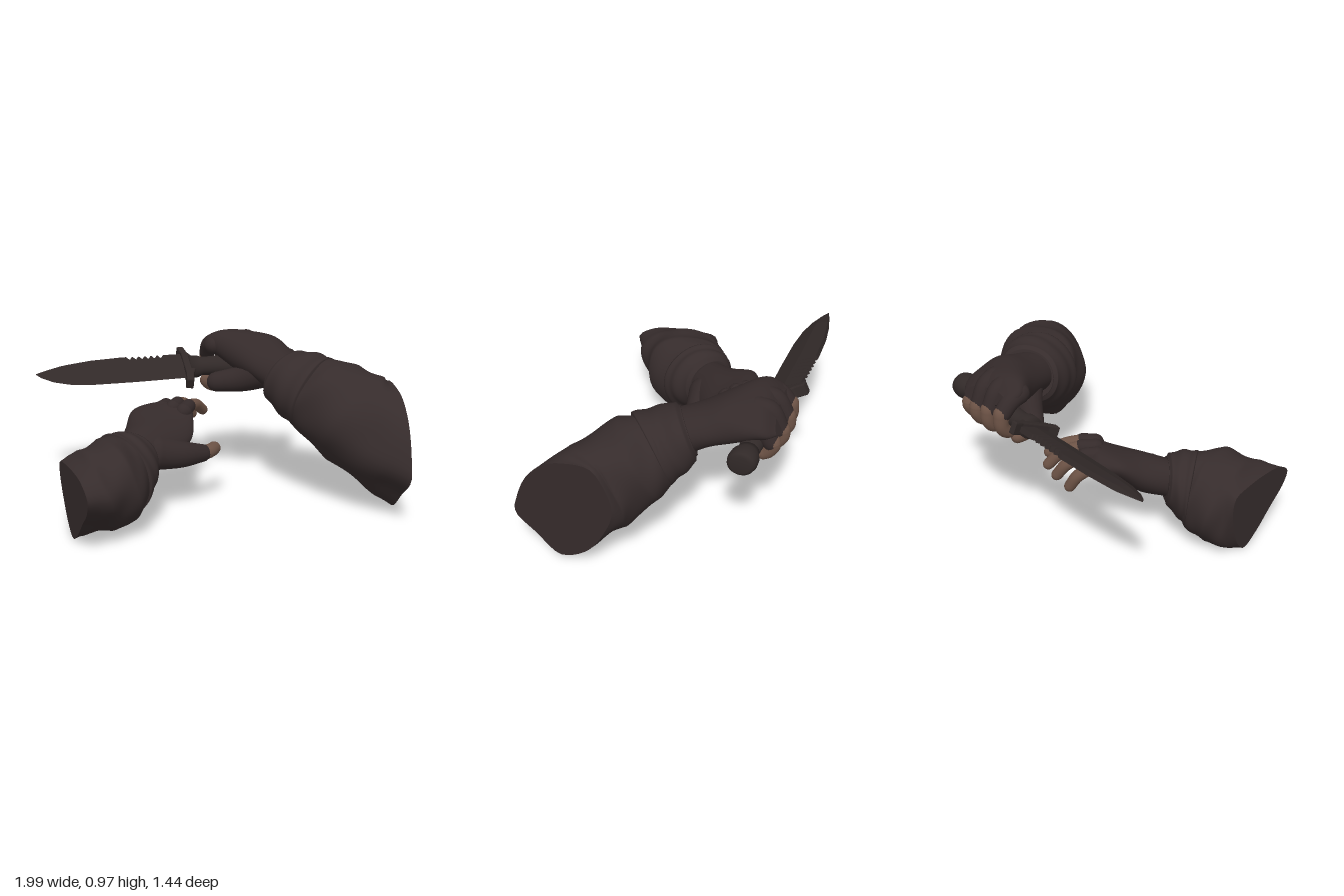
import * as THREE from 'three';

const V = (x, y, z) => new THREE.Vector3(x, y, z);
const mat = (name, color) => Object.assign(new THREE.MeshStandardMaterial({ color }), { name });

// Surface through closed rings of points, with flat end caps
function skin(rings) {
  const n = rings[0].length, pos = [], idx = [];
  rings.forEach(r => r.forEach(p => pos.push(p.x, p.y, p.z)));
  for (let k = 0; k < rings.length - 1; k++)
    for (let j = 0; j < n; j++) {
      const a = k * n + j, b = k * n + (j + 1) % n;
      idx.push(a, a + n, b, b, a + n, b + n);
    }
  const cap = (ring, flip) => {
    const base = pos.length / 3, c = V(0, 0, 0);
    ring.forEach(p => { c.add(p); pos.push(p.x, p.y, p.z); });
    c.divideScalar(n);
    pos.push(c.x, c.y, c.z);
    for (let j = 0; j < n; j++) {
      const a = base + j, b = base + (j + 1) % n;
      idx.push(base + n, flip ? b : a, flip ? a : b);
    }
  };
  cap(rings[0], false);
  cap(rings[rings.length - 1], true);
  const g = new THREE.BufferGeometry();
  g.setAttribute('position', new THREE.Float32BufferAttribute(pos, 3));
  g.setIndex(idx);
  g.computeVertexNormals();
  return g;
}

const ellipse = (c, a, b, n, f = () => 1) => Array.from({ length: n }, (_, j) => {
  const t = j / n * Math.PI * 2, s = f(t);
  return c.clone().addScaledVector(a, Math.cos(t) * s).addScaledVector(b, Math.sin(t) * s);
});

// Smooth loft through key sections [centre, sideways half-axis, upward half-axis];
// an outline of points may shape the first section and fades out along the loft
function loft(keys, steps, fold, outline, n = 48) {
  const [c, a, b] = [0, 1, 2].map(i =>
    new THREE.CatmullRomCurve3(keys.map(k => V(...k[i])), false, 'catmullrom'));
  const rings = [];
  for (let s = 0; s <= steps; s++) {
    const u = s / steps;
    rings.push(ellipse(c.getPoint(u), a.getPoint(u), b.getPoint(u), n, t => fold(u, t)));
  }
  if (outline) {
    const shape = new THREE.CatmullRomCurve3(outline, true).getSpacedPoints(n);
    const shift = rings[0].map((p, j) => shape[j].clone().sub(p));
    rings.forEach((r, s) => r.forEach((p, j) =>
      p.addScaledVector(shift[j], Math.max(0, 1 - 1.6 * s / steps) ** 1.5)));
  }
  return skin(rings);
}

// Round-ended tapering limb along a path
function limb(points, r0, r1, side) {
  const curve = new THREE.CatmullRomCurve3(points.map(p => V(...p))), rings = [], ref = V(...side);
  const add = (u, push, shrink) => {
    const d = curve.getTangent(u), r = r0 + (r1 - r0) * u;
    const a = ref.clone().addScaledVector(d, -ref.dot(d)).normalize();
    const b = a.clone().cross(d);
    rings.push(ellipse(curve.getPoint(u).addScaledVector(d, push * r),
      a.multiplyScalar(r * shrink), b.multiplyScalar(r * shrink), 16));
  };
  const dome = [0.15, 0.45, 0.8, 1.15];
  dome.forEach(f => add(0, -Math.cos(f), Math.sin(f)));
  for (let i = 0; i <= 14; i++) add(i / 14, 0, 1);
  dome.slice().reverse().forEach(f => add(1, Math.cos(f), Math.sin(f)));
  return skin(rings);
}

// Cloth folds: slanting ridges that fade out at the cut end
const folds = (u, t) => 1 + Math.min(1, u * 4) * (
  0.05 * (0.5 - Math.abs(Math.sin(u * 9 + 1.5 * Math.sin(t + 1)))) +
  0.02 * Math.sin(3 * t + 11 * u) + 0.014 * Math.sin(5 * t - 16 * u));
const cuffFolds = (u, t) => (u < 0.05 || u > 0.95 ? 0.9 : 1.02)
  + 0.02 * Math.sin(u * 13 + Math.sin(2 * t)) + 0.01 * Math.sin(4 * t + 5 * u);
const gloveFolds = (u, t) => 1 + 0.012 * Math.sin(4 * t + 9 * u);

export function createModel() {
  const model = new THREE.Group();
  const cloth = mat('sleeve cloth', 0x362c2c), glove = mat('glove leather', 0x342a2a);
  const flesh = mat('skin', 0x6d5346), steel = mat('dark steel', 0x312928);
  const group = name => { const g = new THREE.Group(); g.name = name; model.add(g); return g; };
  const add = (parent, name, geo, m) => {
    const mesh = new THREE.Mesh(geo, m);
    mesh.name = name;
    parent.add(mesh);
  };

  // Left arm, holding the knife; the sleeve end is cut flat
  const left = group('leftArm');
  const leftCut = [[.11, .5], [.16, .68], [.23, .77], [.38, .765], [.5, .72], [.62, .6], [.7, .42], [.72, .3],
    [.6, .18], [.47, .06], [.4, .07], [.28, .15], [.18, .3]]
    .map(([z, y]) => V(.965 + .04 * (y - .42) - .07 * (z - .4), y, z));
  add(left, 'leftSleeve', loft([
    [[.967, .42, .41], [.015, .05, -.29], [.02, .34, -.06]],
    [[.82, .515, .26], [.14, .03, -.22], [.06, .295, .03]],
    [[.66, .63, .08], [.18, .01, -.18], [.06, .25, .06]],
    [[.56, .7, -.03], [.165, 0, -.12], [.05, .18, .05]]], 48, folds, leftCut), cloth);
  add(left, 'leftCuff', loft([
    [[.61, .66, .04], [.18, 0, -.15], [.05, .22, .05]],
    [[.55, .7, -.05], [.185, 0, -.12], [.05, .2, .05]],
    [[.47, .75, -.16], [.165, 0, -.08], [.03, .155, .04]]], 30, cuffFolds), cloth);
  add(left, 'leftGlove', loft([
    [[.48, .75, -.13], [.13, 0, -.07], [.02, .12, .03]],
    [[.43, .79, -.25], [.155, 0, -.05], [.02, .12, .02]],
    [[.37, .83, -.38], [.185, -.01, -.03], [.02, .13, .02]],
    [[.305, .865, -.51], [.225, -.03, -.01], [0, .105, .03]],
    [[.285, .86, -.59], [.215, -.03, -.01], [0, .09, .03]],
    [[.28, .85, -.64], [.17, -.03, -.01], [0, .045, .02]]], 40, gloveFolds), glove);
  [ // knuckle position, and height where the glove ends
    [.115, .88, .01, .8], [.22, .905, 0, .79], [.33, .9, .005, .77], [.435, .86, .03, .75],
  ].forEach(([x, y, z, end], i) => {
    add(left, 'leftGloveFinger' + (i + 1), limb([[x + .01, y, -.52 + z], [x, y - .02, -.59 + z],
      [x, end, -.65 + z]], .063, .05, [1, 0, 0]), glove);
    add(left, 'leftFinger' + (i + 1), limb([[x, end, -.66 + z], [x, .73, -.662 + z],
      [x, .685, -.635 + z], [x, .665, -.58]], .046, .038, [1, 0, 0]), flesh);
  });
  add(left, 'leftGloveThumb', limb([[.38, .75, -.25], [.25, .69, -.34], [.115, .66, -.42]], .1, .064, [.7, 0, -.6]), glove);
  add(left, 'leftThumb', limb([[.1, .645, -.44], [.09, .635, -.5], [.085, .635, -.56]], .048, .041, [1, 0, 0]), flesh);

  // Right arm, open hand reaching forward
  const right = group('rightArm');
  const rightCut = [[.65, .36], [.55, .43], [.4, .45], [.25, .445], [.13, .42], [.11, .34], [.14, .2], [.2, .06],
    [.27, 0], [.38, .06], [.5, .17], [.62, .28]]
    .map(([z, y]) => V(-.95 + .11 * (z - .39) - .05 * (y - .25), y, z));
  add(right, 'rightSleeve', loft([
    [[-.955, .25, .39], [.03, .04, .26], [-.01, .21, -.04]],
    [[-.82, .27, .29], [.1, .04, .25], [-.03, .255, 0]],
    [[-.68, .295, .2], [.12, .02, .22], [-.03, .26, 0]],
    [[-.6, .34, .1], [.12, 0, .14], [-.03, .19, 0]]], 48, folds, rightCut), cloth);
  add(right, 'rightCuff', loft([
    [[-.64, .31, .15], [.13, 0, .18], [-.03, .235, 0]],
    [[-.59, .345, .1], [.14, 0, .15], [-.02, .2, 0]],
    [[-.53, .385, .03], [.125, 0, .1], [-.02, .14, 0]]], 30, cuffFolds), cloth);
  add(right, 'rightGlove', loft([
    [[-.54, .385, .05], [.09, 0, .08], [-.02, .115, 0]],
    [[-.42, .42, -.06], [.12, -.02, .105], [-.02, .12, 0]],
    [[-.315, .485, -.165], [.16, -.03, .115], [-.03, .095, -.02]],
    [[-.255, .535, -.255], [.14, .01, .085], [-.02, .065, -.02]],
    [[-.225, .545, -.295], [.11, .01, .07], [-.01, .03, -.01]]], 36, gloveFolds), glove);
  [ // knuckle, first joint, second joint, tip
    [[-.165, .555, -.19], [-.12, .57, -.245], [-.05, .55, -.33], [.01, .495, -.39]],
    [[-.22, .565, -.24], [-.175, .575, -.3], [-.1, .54, -.39], [-.045, .46, -.445]],
    [[-.28, .555, -.28], [-.24, .56, -.335], [-.18, .51, -.42], [-.13, .43, -.455]],
    [[-.345, .525, -.3], [-.32, .525, -.36], [-.27, .47, -.42], [-.23, .395, -.445]],
  ].forEach(([k, p, q, tip], i) => {
    add(right, 'rightGloveFinger' + (i + 1), limb([k, p], .052, .044, [.7, 0, .6]), glove);
    add(right, 'rightFinger' + (i + 1), limb([p, q, tip], .039, .033, [.7, 0, .6]), flesh);
  });
  add(right, 'rightGloveThumb', limb([[-.4, .38, .01], [-.24, .35, .005], [-.095, .33, -.035]], .11, .055, [.5, 0, .8]), glove);
  add(right, 'rightThumb', limb([[-.1, .33, -.03], [-.04, .33, -.06], [.002, .33, -.105]], .046, .041, [.5, 0, .8]), flesh);

  // Knife, built along x with its spine up, then tipped onto its side
  const knife = group('knife');
  const at = (table, x) => {
    const i = Math.max(1, table.findIndex(p => p[0] >= x)), [p, q] = [table[i - 1], table[i]];
    return p[1] + (q[1] - p[1]) * (x - p[0]) / (q[0] - p[0]);
  };
  const spine = [[-1, .015], [-.95, .032], [-.8, .07], [-.65, .098], [-.45, .113], [0, .113]];
  const edge = [[-1, .01], [-.97, -.025], [-.9, -.072], [-.8, -.105], [-.65, -.12], [-.4, -.118], [0, -.105]];
  const rings = [];
  for (let i = 0; i <= 120; i++) {
    const x = -1 + 0.95 * i / 120, e = at(edge, x);
    let s = at(spine, x);
    if (x > -.42 && x < -.18) s -= .028 * (0.5 - 0.5 * Math.cos((x + .42) / .24 * Math.PI * 12));
    const m = e + .5 * (at(spine, x) - e), t = Math.min(.016, (x + 1) * .1 + .001);
    rings.push([V(x, s, t), V(x, s, -t), V(x, m, -t * 1.2), V(x, e, 0), V(x, m, t * 1.2)]);
  }
  const blade = skin(rings).toNonIndexed();
  blade.computeVertexNormals();
  add(knife, 'blade', blade, steel);

  const guardShape = new THREE.Shape([[-.075, .155], [-.05, .155], [-.035, .1], [-.01, .06], [-.01, -.06],
    [-.03, -.11], [-.04, -.165], [-.07, -.16], [-.06, -.1], [-.06, .1]].map(p => new THREE.Vector2(...p)));
  const guard = new THREE.ExtrudeGeometry(guardShape,
    { depth: .06, bevelEnabled: true, bevelSize: .008, bevelThickness: .008, bevelSegments: 2 });
  add(knife, 'guard', guard.translate(0, 0, -.03), steel);

  const turned = (name, profile) => {
    const g = new THREE.LatheGeometry(profile.map(p => new THREE.Vector2(...p)), 28);
    add(knife, name, g.rotateZ(-Math.PI / 2).scale(1, 1, .9), steel);
  };
  turned('handle', [[0, -.03], [.075, -.03], [.075, .02], [.062, .05], [.068, .2], [.072, .32],
    [.066, .45], [.062, .56], [0, .56]]);
  turned('pommel', [[0, .53], [.064, .53], [.07, .56], [.084, .585], [.088, .63], [.08, .66], [.06, .672], [0, .672]]);
  knife.rotation.set(-1.14, -.06, 0, 'YXZ');
  knife.position.set(0, .735, -.55);

  return model;
}
